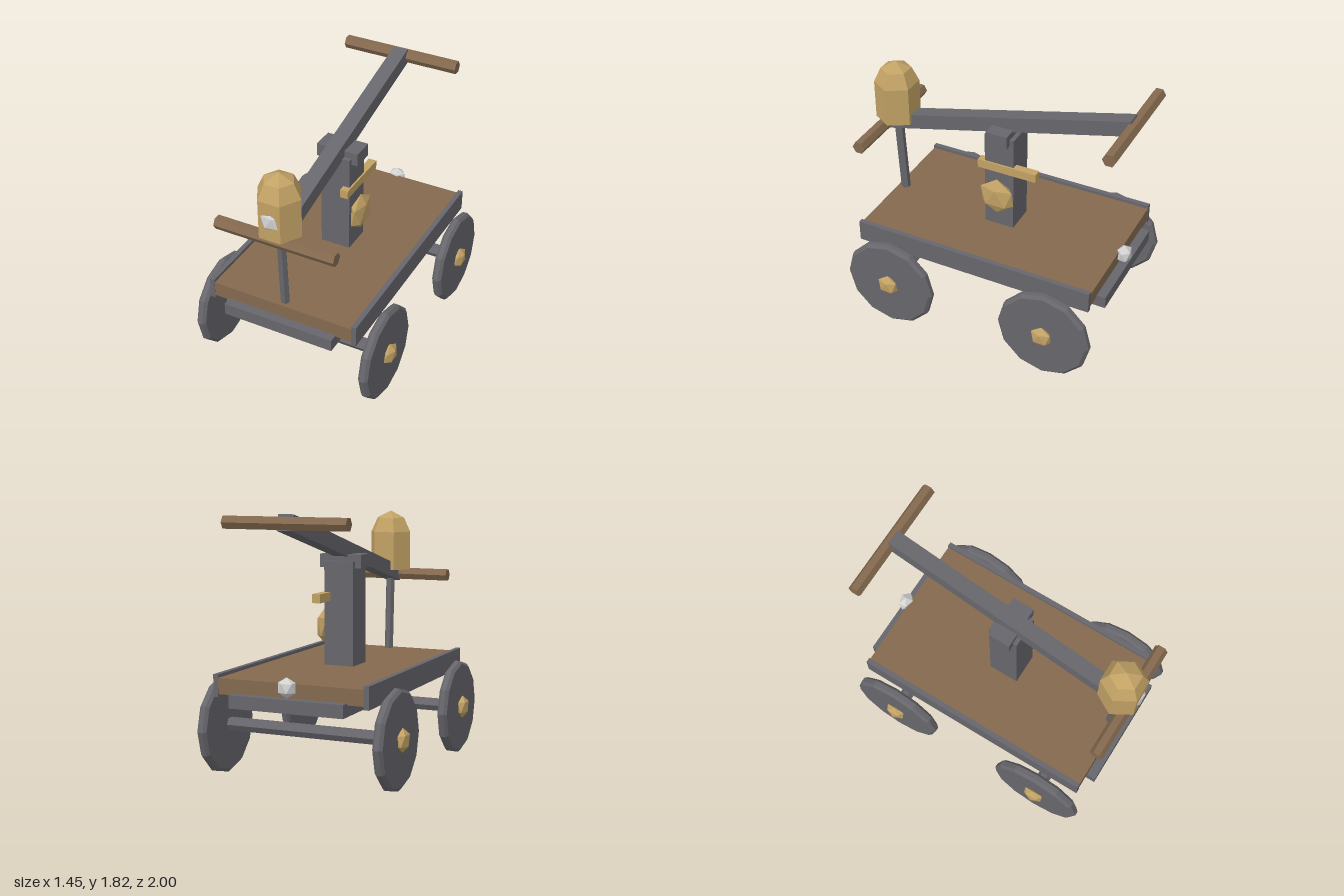
import * as THREE from 'three';

const flat = (name, color) => {
  const m = new THREE.MeshStandardMaterial({ color, flatShading: true });
  m.name = name;
  return m;
};

export function createModel() {
  const iron = flat('iron', 0x67666c);
  const wood = flat('wood', 0x83694e);
  const brass = flat('brass', 0xc2a265);
  const glass = flat('glass', 0xd2d2d2);
  const model = new THREE.Group();
  model.name = 'railHandcar';

  const add = (name, geo, mat, x, y, z) => {
    const mesh = new THREE.Mesh(geo, mat);
    mesh.name = name;
    mesh.position.set(x, y, z);
    model.add(mesh);
    return mesh;
  };
  const box = (name, mat, w, h, d, x, y, z) =>
    add(name, new THREE.BoxGeometry(w, h, d), mat, x, y, z);
  // Twenty-sided ball with its poles up and down, stretched per axis
  const ball = (name, mat, rx, ry, rz, x, y, z) => {
    const geo = new THREE.IcosahedronGeometry(1, 0);
    geo.rotateZ(-Math.atan(2 / (1 + Math.sqrt(5)))).scale(rx, ry, rz);
    return add(name, geo, mat, x, y, z);
  };
  // Six-sided bar running along x
  const crossBar = (name, mat, r, length, y, z) =>
    add(name, new THREE.CylinderGeometry(r, r, length, 6).rotateZ(Math.PI / 2), mat, 0, y, z);
  const lathe = (pts, sides) =>
    new THREE.LatheGeometry(pts.map(([r, y]) => new THREE.Vector2(r, y)), sides);

  // Platform
  const mid = -0.018;
  box('deck', wood, 1.07, 0.11, 1.785, 0, 0.667, mid);
  box('underframe', iron, 0.83, 0.09, 1.915, 0, 0.58, mid);
  for (const s of [1, -1]) box('sideRail', iron, 0.036, 0.155, 1.79, s * 0.548, 0.668, mid);

  // Axles with bevelled wheels and brass hubs
  const wheelGeo = lathe([[0, -0.036], [0.323, -0.036], [0.345, -0.016],
    [0.345, 0.016], [0.323, 0.036], [0, 0.036]], 12).rotateZ(Math.PI / 2);
  for (const z of [0.591, -0.625]) {
    crossBar('axle', iron, 0.049, 1.28, 0.349, z);
    for (const s of [1, -1]) {
      add('wheel', wheelGeo, iron, s * 0.64, 0.347, z);
      ball('hub', brass, 0.045, 0.083, 0.083, s * 0.686, 0.35, z);
    }
  }

  // Pump column, pivot, lever and bell
  box('column', iron, 0.222, 0.75, 0.222, 0, 1.088, mid);
  box('pivot', iron, 0.314, 0.095, 0.16, 0, 1.463, mid);
  box('brakeLever', brass, 0.06, 0.063, 0.445, 0.094, 1.212, -0.08);
  ball('bell', brass, 0.05, 0.143, 0.143, 0.145, 0.991, mid);

  // Rocking beam with a handle at each end and a connecting rod
  const tilt = 0.2475;
  box('rockingBeam', iron, 0.11, 0.109, 1.93, 0, 1.532, -0.014).rotation.x = tilt;
  crossBar('frontHandle', wood, 0.048, 0.887, 1.297, 0.914);
  crossBar('rearHandle', wood, 0.048, 0.887, 1.763, -0.949);
  const rod = add('connectingRod',
    new THREE.CylinderGeometry(0.034, 0.034, 0.58, 6).rotateY(Math.PI / 2), iron, 0, 1.0, 0.833);
  rod.rotation.x = 0.048;

  // Domed lantern with its lens, and the tail lamp
  add('lantern', lathe([[0, 1.337], [0.16, 1.337], [0.16, 1.625],
    [0.109, 1.732], [0, 1.785]], 6).rotateY(Math.PI / 2), brass, 0, 0, 0.847);
  ball('lanternLens', glass, 0.085, 0.085, 0.042, 0, 1.482, 0.964);
  ball('tailLamp', glass, 0.07, 0.07, 0.055, 0, 0.7, -0.943);

  return model;
}
